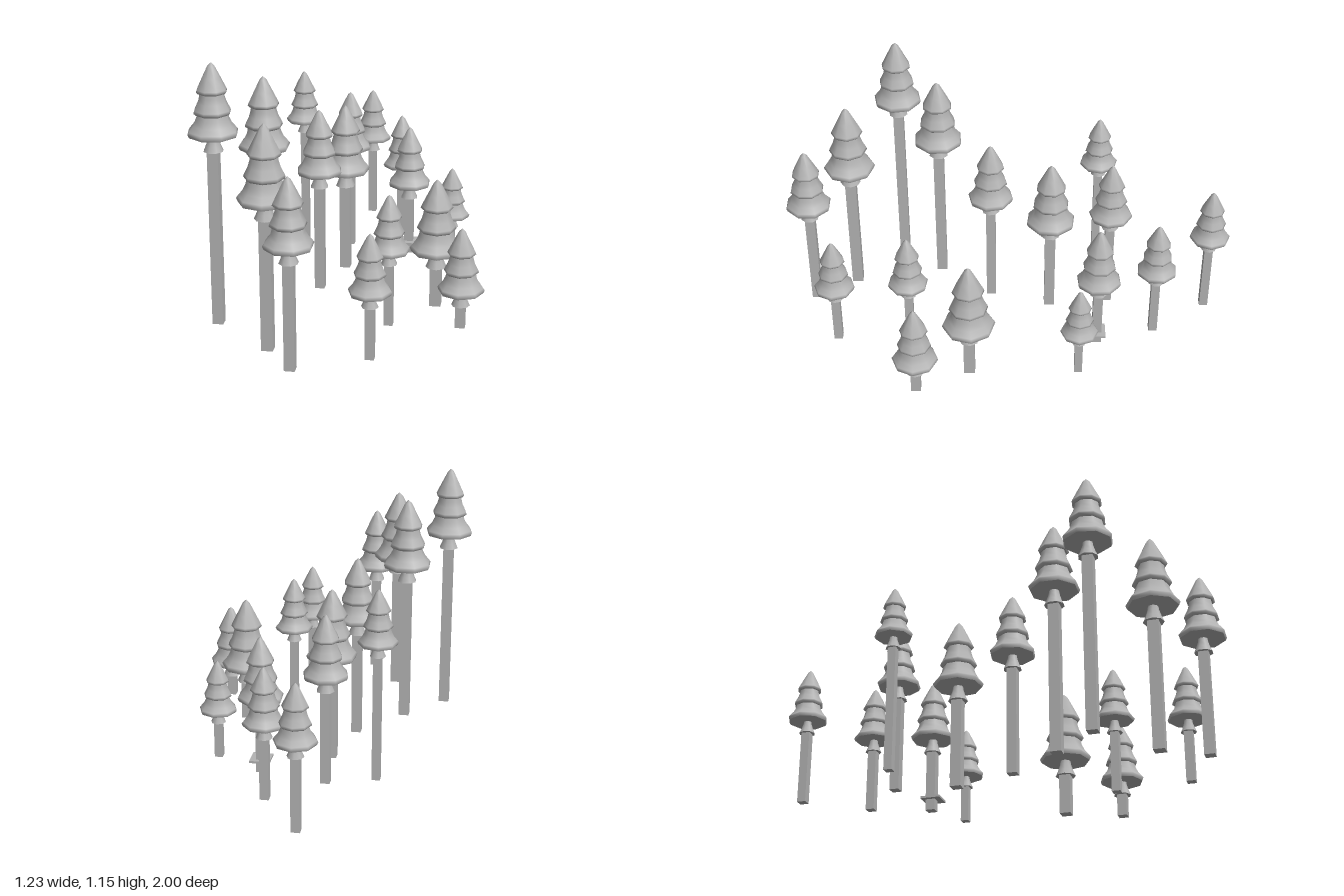
import * as THREE from 'three';

// x, z, tip height, size of each tree
const TREES = [
  [-0.06, -0.91, 0.66, 0.83], [0.12, -0.66, 0.61, 0.83],
  [-0.10, -0.46, 0.775, 0.9], [-0.31, -0.41, 0.88, 0.78],
  [0.19, -0.40, 0.635, 0.92], [0.40, -0.31, 0.475, 0.76],
  [-0.08, -0.19, 0.79, 1.02], [-0.15, 0.08, 0.845, 0.94],
  [0.38, 0.17, 0.587, 1.07], [-0.34, 0.32, 1.053, 1.02],
  [0.51, 0.40, 0.46, 0.92], [0.21, 0.44, 0.605, 0.82],
  [-0.51, 0.51, 1.155, 1], [-0.25, 0.72, 0.975, 1.06],
  [-0.12, 0.90, 0.827, 0.95], [0.18, 0.77, 0.56, 0.83],
];

// Tier profiles as [radius, depth below tip], from the underside up
const TIERS = {
  topTier: {
    under: [[0, 0.122], [0.058, 0.128]],
    side: [[0.058, 0.128], [0.066, 0.12], [0.063, 0.112], [0.04, 0.065], [0.015, 0.015], [0, 0]],
  },
  middleTier: {
    under: [[0, 0.21], [0.07, 0.217]],
    side: [[0.07, 0.217], [0.08, 0.208], [0.077, 0.198], [0.062, 0.168], [0.055, 0.145], [0.051, 0.12]],
  },
  lowerTier: {
    under: [[0, 0.308], [0.103, 0.308]],
    side: [[0.103, 0.308], [0.109, 0.294], [0.103, 0.285], [0.084, 0.262], [0.072, 0.238], [0.065, 0.21]],
  },
  neckSkirt: {
    under: [[0, 0.375], [0.043, 0.375]],
    side: [[0.043, 0.375], [0.033, 0.352], [0.024, 0.325], [0.021, 0.305]],
  },
};

export function createModel() {
  const group = new THREE.Group();
  const grey = new THREE.MeshStandardMaterial({ color: 0xb4b4b4 });
  grey.name = 'grey';

  const add = (parent, name, geometry, x = 0, y = 0, z = 0) => {
    const mesh = new THREE.Mesh(geometry, grey);
    mesh.name = name;
    mesh.position.set(x, y, z);
    parent.add(mesh);
    return mesh;
  };
  const lathe = (points) =>
    new THREE.LatheGeometry(points.map(([r, d]) => new THREE.Vector2(r, -d)), 8);

  // Shared crown geometry, with a crisp edge between underside and slope
  const crownParts = [];
  for (const [name, { under, side }] of Object.entries(TIERS)) {
    crownParts.push([name + 'Underside', lathe(under)], [name, lathe(side)]);
  }

  TREES.forEach(([x, z, top, size], i) => {
    const tree = new THREE.Group();
    tree.name = 'tree' + (i + 1);
    tree.position.set(x, 0, z);
    group.add(tree);

    // Eight-sided tiered crown
    const crown = new THREE.Group();
    crown.name = 'crown';
    crown.position.y = top;
    crown.scale.setScalar(size);
    crown.rotation.y = (i * 0.31) % (Math.PI / 4);
    for (const [name, geometry] of crownParts) add(crown, name, geometry);
    tree.add(crown);

    // Square trunk ending just inside the skirt
    const base = 0.08 - 0.07 * size;
    const end = top - 0.37 * size;
    const width = 0.046 * size;
    add(tree, 'trunk', new THREE.BoxGeometry(width, end - base, width), 0, (base + end) / 2, 0);
  });

  // Thin square collar low on one trunk
  add(group, 'trunkCollar', new THREE.BoxGeometry(0.088, 0.01, 0.088), 0.193, 0.07, -0.395);
  return group;
}
